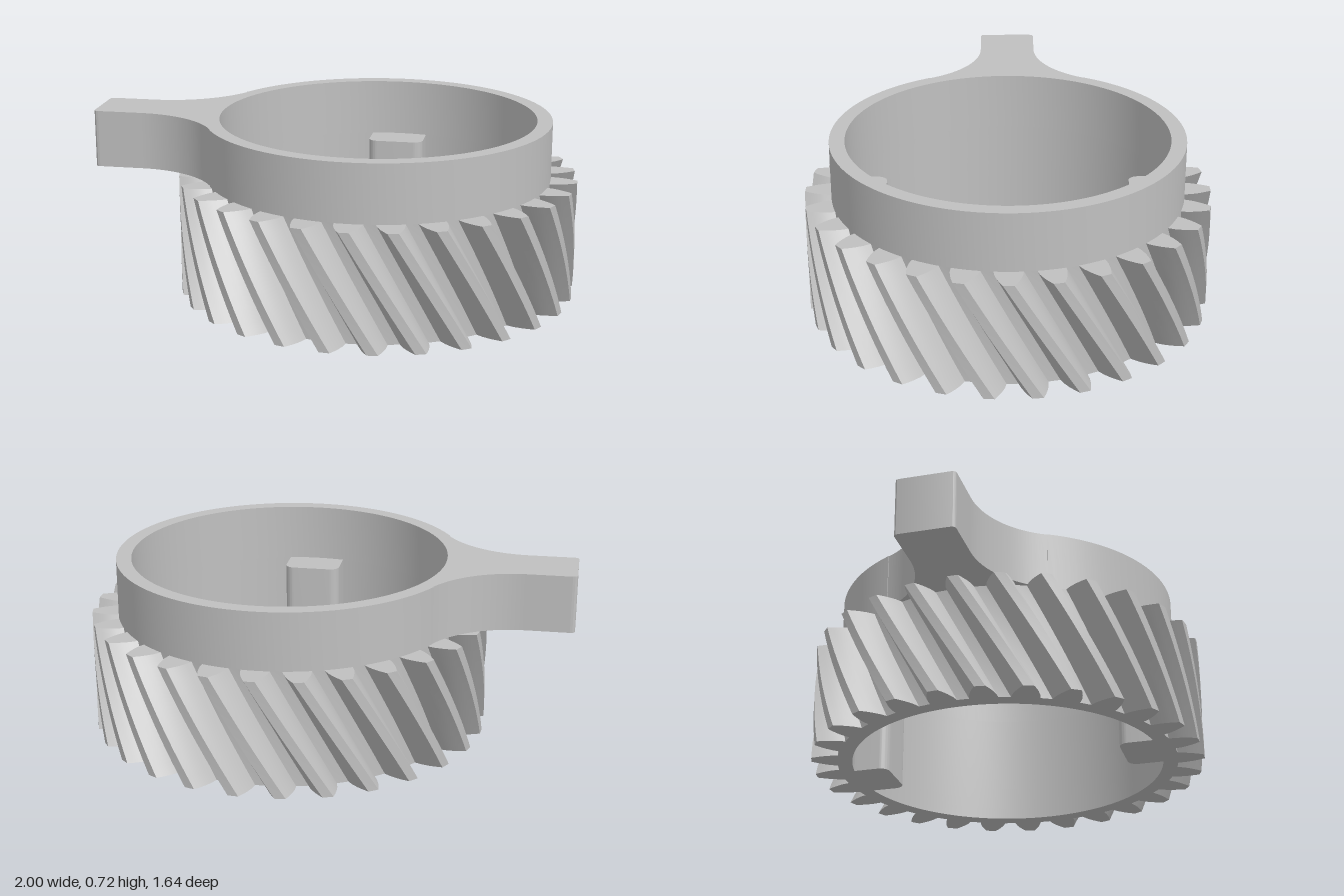
import * as THREE from 'three';
import { toCreasedNormals } from 'three/addons/utils/BufferGeometryUtils.js';

const CENTRE_X = 0.18, GEAR_H = 0.48, TOP = 0.718;
const BORE = 0.65, ROOT_R = 0.712, PITCH_R = 0.772, TIP_R = 0.82, TEETH = 28;
const TWIST = (Math.tan(Math.PI / 6) * GEAR_H) / PITCH_R; // 30 degree helix

// Extrude a plan shape (x, -z) upwards between two heights
function extrudeUp(shape, y0, y1, steps = 1, curveSegments = 60) {
  const g = new THREE.ExtrudeGeometry(shape, { depth: y1 - y0, steps, curveSegments, bevelEnabled: false });
  g.rotateX(-Math.PI / 2);
  g.translate(0, y0, 0);
  return g;
}

function addBore(shape) {
  const hole = new THREE.Path();
  hole.absarc(0, 0, BORE, 0, Math.PI * 2, true);
  shape.holes.push(hole);
}

// Ring gear whose teeth wind around the axis
function gearGeometry() {
  // involute half-tooth from root to tip: radius, half-angle
  const flank = [[ROOT_R, 0.0786], [0.742, 0.0705], [PITCH_R, 0.0561], [0.796, 0.042], [TIP_R, 0.026]];
  const pts = [];
  const polar = (r, a) => pts.push(new THREE.Vector2(r * Math.cos(a), r * Math.sin(a)));
  for (let i = 0; i < TEETH; i++) {
    const mid = -Math.PI / 2 + (i / TEETH) * Math.PI * 2;
    flank.forEach(([r, a]) => polar(r, mid - a));
    polar(TIP_R, mid);
    [...flank].reverse().forEach(([r, a]) => polar(r, mid + a));
  }
  const shape = new THREE.Shape(pts);
  addBore(shape);
  const g = extrudeUp(shape, 0, GEAR_H, 10);
  const p = g.attributes.position, v = new THREE.Vector3(), up = new THREE.Vector3(0, 1, 0);
  for (let i = 0; i < p.count; i++) {
    v.fromBufferAttribute(p, i);
    v.applyAxisAngle(up, TWIST * (1 - v.y / GEAR_H));
    p.setXYZ(i, v.x, v.y, v.z);
  }
  return toCreasedNormals(g, 0.5);
}

// Collar ring blending through two fillets into a lever
function collarGeometry() {
  const half = 0.12, fillet = 0.4, fx = -0.98, fz = half + fillet, end = -1.18, c = 0.02;
  const a = Math.atan2(fz, -fx);
  const s = new THREE.Shape();
  s.absarc(0, 0, ROOT_R, -Math.PI + a, Math.PI - a, false);
  s.absarc(fx, fz, fillet, -a, -Math.PI / 2, true);
  s.lineTo(end + c, half);
  s.quadraticCurveTo(end, half, end, half - c);
  s.lineTo(end, -half + c);
  s.quadraticCurveTo(end, -half, end + c, -half);
  s.lineTo(fx, -half);
  s.absarc(fx, -fz, fillet, Math.PI / 2, a, true);
  addBore(s);
  return toCreasedNormals(extrudeUp(s, GEAR_H, TOP), 0.5);
}

// Key inside the bore, rounded on its inner corners
function keyGeometry() {
  const w = 0.12, inner = 0.495, outer = 0.655, c = 0.04;
  const s = new THREE.Shape();
  s.moveTo(-w, outer);
  s.lineTo(-w, inner + c);
  s.absarc(-w + c, inner + c, c, Math.PI, Math.PI * 1.5, false);
  s.absarc(w - c, inner + c, c, Math.PI * 1.5, Math.PI * 2, false);
  s.lineTo(w, outer);
  return toCreasedNormals(extrudeUp(s, 0, GEAR_H, 1, 8), 0.5);
}

export function createModel() {
  const grey = new THREE.MeshStandardMaterial({ color: 0xc0c0c0 });
  grey.name = 'plain grey';
  const model = new THREE.Group();
  model.name = 'helicalGearWithLever';

  const add = (name, geometry, turn = 0) => {
    const mesh = new THREE.Mesh(geometry, grey);
    mesh.name = name;
    mesh.position.x = CENTRE_X;
    mesh.rotation.y = turn;
    model.add(mesh);
  };

  add('helicalGear', gearGeometry());
  add('collarWithLever', collarGeometry());
  const key = keyGeometry();
  add('backKey', key);
  add('frontKey', key, Math.PI);
  return model;
}
